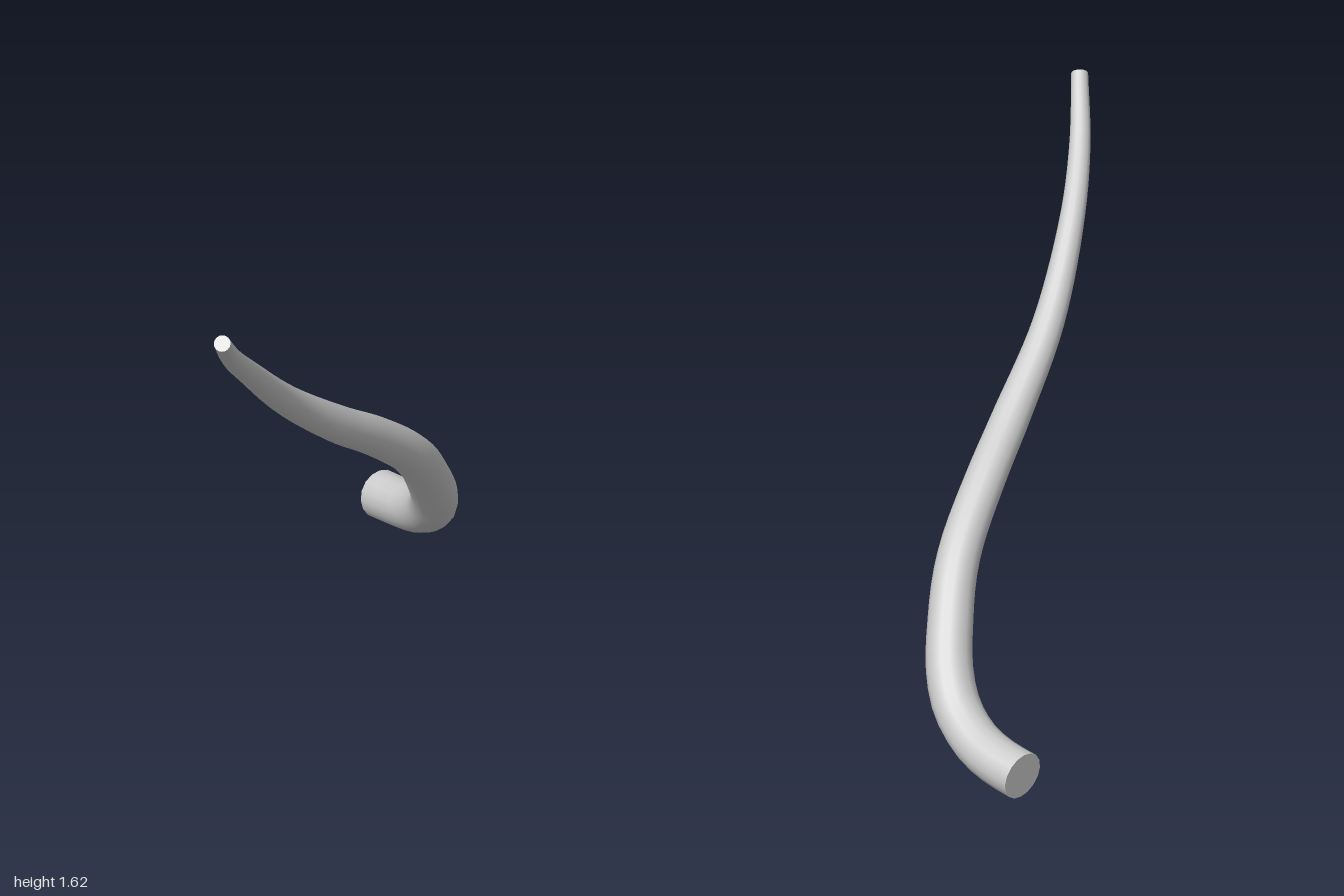
import * as THREE from 'three';

const SIDES = 16, RINGS = 48;

// Centreline from the thick base to the thin tip
const path = new THREE.CatmullRomCurve3([
  [0.915, 0.087, -0.405], [0.885, 0.098, -0.3], [0.843, 0.124, -0.195], [0.775, 0.19, -0.085],
  [0.7, 0.285, -0.015], [0.6, 0.403, 0.035], [0.5, 0.508, 0.073], [0.4, 0.593, 0.095],
  [0.2, 0.73, 0.115], [0, 0.85, 0.13], [-0.3, 1.055, 0.15], [-0.6, 1.295, 0.22],
  [-0.8, 1.45, 0.3], [-0.975, 1.6, 0.395],
].map((p) => new THREE.Vector3(...p)));

// Radius at fractions of the length
const taper = [[0, 0.083], [0.14, 0.081], [0.25, 0.076], [0.35, 0.071], [0.53, 0.064],
  [0.66, 0.053], [0.81, 0.041], [0.91, 0.035], [1, 0.028]];

function radiusAt(u) {
  const i = Math.max(1, taper.findIndex(([t]) => t >= u - 1e-9));
  const [t0, r0] = taper[i - 1], [t1, r1] = taper[i];
  return THREE.MathUtils.mapLinear(u, t0, t1, r0, r1);
}

// Unit tube with each ring scaled to the taper
function taperedTube() {
  const geo = new THREE.TubeGeometry(path, RINGS, 1, SIDES, false);
  const pos = geo.attributes.position, v = new THREE.Vector3();
  for (let i = 0; i <= RINGS; i++) {
    const centre = path.getPointAt(i / RINGS), r = radiusAt(i / RINGS);
    for (let j = 0; j <= SIDES; j++) {
      const k = i * (SIDES + 1) + j;
      v.fromBufferAttribute(pos, k).sub(centre).multiplyScalar(r).add(centre);
      pos.setXYZ(k, v.x, v.y, v.z);
    }
  }
  return geo;
}

// Flat disc closing one ring of the tube
function endCap(tube, ring, flip) {
  const points = [path.getPointAt(ring / RINGS)], index = [];
  for (let j = 0; j <= SIDES; j++) {
    points.push(new THREE.Vector3().fromBufferAttribute(tube.attributes.position, ring * (SIDES + 1) + j));
    if (j > 0) index.push(0, ...(flip ? [j + 1, j] : [j, j + 1]));
  }
  const geo = new THREE.BufferGeometry().setFromPoints(points);
  geo.setIndex(index);
  geo.computeVertexNormals();
  return geo;
}

export function createModel() {
  const group = new THREE.Group();
  group.name = 'curvedBranch';
  const material = new THREE.MeshStandardMaterial({ color: 0xcccccc });
  const add = (name, geo) => {
    const mesh = new THREE.Mesh(geo, material);
    mesh.name = name;
    group.add(mesh);
  };
  const tube = taperedTube();
  add('stem', tube);
  add('baseCap', endCap(tube, 0, false));
  add('tipCap', endCap(tube, RINGS, true));
  return group;
}
